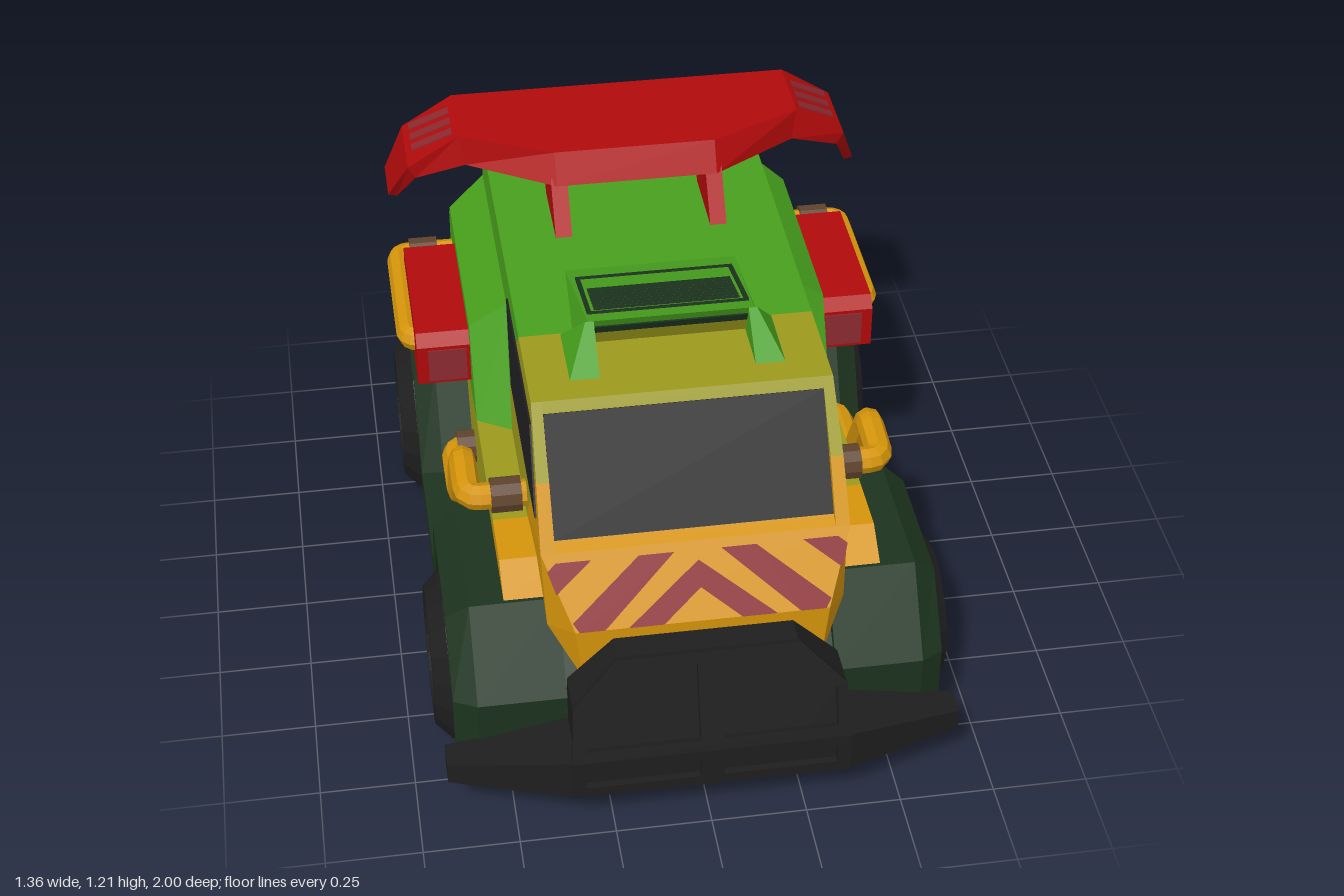
import * as THREE from 'three';

const mat = (name, color) => Object.assign(new THREE.MeshStandardMaterial({ color }), { name });

export function createModel() {
  const model = new THREE.Group();
  const green = mat('bright green paint', 0x48a01d), darkGreen = mat('dark green armour', 0x1c331e);
  const olive = mat('olive paint', 0x9c991d), orange = mat('orange paint', 0xd4940a);
  const red = mat('red paint', 0xb00a0b), maroon = mat('maroon markings', 0x8c2a30);
  const brown = mat('burnt metal', 0x5e422c), grey = mat('grey metal', 0x8a8785);
  const black = mat('black trim', 0x1e1e1f), glass = mat('dark glass', 0x202022);

  // Adds a mesh with faceted normals
  function add(name, geo, material, parent = model) {
    const g = geo.index ? geo.toNonIndexed() : geo;
    g.computeVertexNormals();
    const m = new THREE.Mesh(g, material);
    m.name = name;
    parent.add(m);
    return m;
  }
  // Joins rings of [z, y, x] points, ordered by rising x, into a capped solid
  function loft(rings) {
    const flat = r => r.map(p => new THREE.Vector2(p[0], p[1]));
    if (THREE.ShapeUtils.isClockWise(flat(rings[0]))) rings = rings.map(r => [...r].reverse());
    const pos = [], put = (...ps) => ps.forEach(p => pos.push(p[2], p[1], p[0]));
    const last = rings[rings.length - 1], n = last.length;
    for (const [a, b, c] of THREE.ShapeUtils.triangulateShape(flat(rings[0]), [])) put(rings[0][a], rings[0][b], rings[0][c]);
    for (const [a, b, c] of THREE.ShapeUtils.triangulateShape(flat(last), [])) put(last[c], last[b], last[a]);
    for (let i = 0; i + 1 < rings.length; i++) for (let j = 0; j < n; j++) {
      const a = rings[i][j], b = rings[i][(j + 1) % n], c = rings[i + 1][(j + 1) % n], d = rings[i + 1][j];
      put(a, d, c, a, c, b);
    }
    const g = new THREE.BufferGeometry();
    g.setAttribute('position', new THREE.Float32BufferAttribute(pos, 3));
    return g;
  }
  const at = (pts, x) => pts.map(([z, y]) => [z, y, x]);
  const flip = rings => rings.map(r => r.map(([z, y, x]) => [z, y, -x])).reverse();
  // Solid symmetric about x = 0; each point is [z, y, half width]
  const prism = (name, pts, m) => add(name, loft([pts.map(([z, y, w]) => [z, y, -w]), pts]), m);
  // Left and right copies of a lofted part
  const pair = (name, rings, m) => { add(name + 'Left', loft(rings), m); add(name + 'Right', loft(flip(rings)), m); };
  const shape = pts => new THREE.Shape(pts.map(p => new THREE.Vector2(...p)));
  const hole = (s, pts) => s.holes.push(new THREE.Path(pts.map(p => new THREE.Vector2(...p))));
  function frame(name, y, z, tilt) {
    const g = new THREE.Group();
    g.name = name;
    g.position.set(0, y, z);
    g.rotation.x = tilt;
    model.add(g);
    return g;
  }

  // Cabin in three paint zones
  prism('nose', [[0.83, 0.4, 0.31], [0.83, 0.55, 0.325], [0.71, 0.715, 0.395], [0.682, 0.727, 0.395], [0.59, 0.862, 0.39], [0.42, 0.62, 0.398], [0.4, 0.49, 0.4], [0.72, 0.49, 0.385]], orange);
  prism('cabin', [[0.59, 0.862, 0.39], [0.497, 0.998, 0.386], [0.48, 1.02, 0.385], [0.2, 1.02, 0.385], [0.05, 0.85, 0.391], [-0.1, 0.49, 0.403], [0.4, 0.49, 0.403], [0.42, 0.62, 0.398]], olive);
  prism('rearCabin', [[0.2, 1.02, 0.385], [-0.74, 1.02, 0.385], [-0.79, 0.8, 0.39], [-0.79, 0.49, 0.403], [-0.1, 0.49, 0.403], [0.05, 0.85, 0.391]], green);
  prism('belly', [[0.6, 0.5, 0.32], [0.6, 0.2, 0.32], [-0.79, 0.2, 0.32], [-0.79, 0.5, 0.32]], green);
  prism('frontBelly', [[0.83, 0.4, 0.31], [0.8, 0.2, 0.32], [0.6, 0.2, 0.32], [0.6, 0.5, 0.32], [0.7, 0.5, 0.32]], orange);

  // Raised pillars beside the windscreen
  const pillar = (name, pts, m) => pair(name, [at(pts, 0.358), pts], m);
  pillar('lowerPillar', [[0.712, 0.712, 0.395], [0.612, 0.865, 0.391], [0.56, 0.865, 0.391], [0.66, 0.72, 0.395]], orange);
  pillar('upperPillar', [[0.612, 0.865, 0.391], [0.48, 1.02, 0.385], [0.46, 1.0, 0.386], [0.56, 0.865, 0.391]], olive);

  // Lower flanks, stopping above the wheels
  const flank = (name, pts, m) => pair(name, [at(pts, 0.3), at(pts, 0.49)], m);
  flank('frontFlank', [[0.67, 0.54], [0.58, 0.6], [0.42, 0.6], [0.42, 0.49], [0.64, 0.49]], orange);
  flank('middleFlank', [[0.42, 0.6], [-0.4, 0.6], [-0.4, 0.49], [-0.375, 0.49], [-0.285, 0.25], [-0.285, 0.2], [0.235, 0.2], [0.235, 0.25], [0.355, 0.49], [0.42, 0.49]], olive);
  flank('rearFlank', [[-0.4, 0.6], [-0.77, 0.6], [-0.79, 0.28], [-0.66, 0.49], [-0.4, 0.49]], green);
  pair('rearQuarter', [
    [[0.065, 0.59, 0.38], [-0.1, 0.92, 0.38], [-0.75, 0.92, 0.38], [-0.785, 0.82, 0.38], [-0.79, 0.59, 0.38]],
    [[0, 0.59, 0.49], [-0.13, 0.83, 0.49], [-0.72, 0.83, 0.49], [-0.755, 0.79, 0.49], [-0.765, 0.59, 0.49]]], green);

  // Windows
  const win = y => 0.424 - 0.0333 * y;
  prism('windscreen', [[0.679, 0.732, 0.357], [0.499, 0.995, 0.357], [0.504, 0.998, 0.357], [0.684, 0.735, 0.357]], glass);
  const side = [[0.62, 0.76], [0.49, 0.96], [-0.06, 0.96], [0.06, 0.76]];
  pair('sideWindow', [side.map(([z, y]) => [z, y, win(y) - 0.008]), side.map(([z, y]) => [z, y, win(y)])], glass);

  // Hazard stripes on the hood
  const hood = frame('hoodStripes', 0.553, 0.834, -0.615);
  const stripes = [
    [[0, 0.085], [0.1, 0], [0.19, 0], [0, 0.155]],
    [[0.25, 0], [0.315, 0], [0.33, 0.025], [0.15, 0.18], [0.06, 0.18]],
    [[0.365, 0.1], [0.383, 0.16], [0.36, 0.18], [0.27, 0.18]]];
  for (const s of [1, -1]) for (const p of stripes)
    add('hoodStripe', new THREE.ShapeGeometry(shape(p.map(([x, y]) => [s * x, y]))), maroon, hood);

  // Armoured fenders with wheel arches and sill
  const arches = [[-0.83, 0.17], [-0.78, 0.25], [-0.65, 0.47], [-0.38, 0.47], [-0.3, 0.25], [-0.3, 0.17],
    [0.25, 0.17], [0.25, 0.25], [0.365, 0.47], [0.64, 0.47], [0.75, 0.25], [0.75, 0.17]];
  const outer = [[0.83, 0.17], [0.83, 0.33], [0.68, 0.54], [0.27, 0.54], [0.13, 0.28], [-0.19, 0.28], [-0.34, 0.54], [-0.735, 0.54], [-0.91, 0.28], [-0.91, 0.17], ...arches];
  const inset = [[0.79, 0.17], [0.79, 0.32], [0.655, 0.49], [0.29, 0.49], [0.16, 0.26], [-0.22, 0.26], [-0.36, 0.49], [-0.71, 0.49], [-0.86, 0.27], [-0.86, 0.17], ...arches];
  pair('fender', [at(outer, 0.35), at(outer, 0.58), at(inset, 0.64)], darkGreen);
  prism('rearBumper', [[-0.91, 0.17, 0.36], [-0.91, 0.28, 0.36], [-0.78, 0.34, 0.36], [-0.76, 0.17, 0.36]], darkGreen);
  // Inner wheel housings
  for (const z of [0.5, -0.55]) {
    const wall = [[z + 0.3, 0.18], [z + 0.3, 0.34], [z + 0.16, 0.5], [z - 0.16, 0.5], [z - 0.27, 0.34], [z - 0.27, 0.18]];
    pair('wheelHousing', [at(wall, 0.31), at(wall, 0.352)], darkGreen);
  }

  // Wheels
  const lathe = (pts, n) => new THREE.LatheGeometry(pts.map(p => new THREE.Vector2(...p)), n);
  for (const s of [1, -1]) for (const z of [0.505, -0.56]) {
    const wheel = new THREE.Group();
    wheel.name = (z > 0 ? 'front' : 'rear') + 'Wheel' + (s > 0 ? 'Left' : 'Right');
    wheel.position.set(0, 0.227, z);
    wheel.rotation.z = -s * Math.PI / 2;
    add('tyre', lathe([[0, 0.325], [0.227, 0.325], [0.227, 0.64], [0.185, 0.682], [0.15, 0.682], [0.13, 0.655], [0, 0.655]], 18), black, wheel);
    add('hub', lathe([[0.075, 0.65], [0.07, 0.67], [0, 0.672]], 14), grey, wheel);
    model.add(wheel);
  }

  // Front bumper and grille guard
  const bar = (x, zb, zf, top) => at([[zb, 0.14], [zf, 0.14], [zf, top], [zb, top]], x);
  const wingBar = [bar(0.35, 0.83, 0.98, 0.26), bar(0.36, 0.83, 0.998, 0.26), bar(0.67, 0.82, 0.895, 0.2)];
  add('frontBumper', loft([...flip(wingBar), ...wingBar]), black);
  const guard = (x, top) => at([[0.83, 0.14], [0.98, 0.14], [0.98, 0.26], [0.98 - 0.31 * (top - 0.26), top], [0.83, top]], x);
  add('grilleCore', loft([guard(-0.35, 0.4), guard(-0.23, 0.52), guard(0.23, 0.52), guard(0.35, 0.4)]), black);
  const lower = shape([[-0.36, -0.12], [0.36, -0.12], [0.36, 0], [-0.36, 0]]);
  const upper = shape([[-0.36, -0.007], [0.36, -0.007], [0.35, 0.147], [0.235, 0.272], [-0.235, 0.272], [-0.35, 0.147]]);
  for (const s of [1, -1]) {
    hole(lower, [[0.03, -0.09], [0.325, -0.09], [0.325, -0.035], [0.03, -0.035]].map(([x, y]) => [s * x, y]));
    hole(upper, [[0.03, 0.025], [0.325, 0.025], [0.325, 0.135], [0.22, 0.24], [0.03, 0.24]].map(([x, y]) => [s * x, y]));
  }
  const extrude = (s, depth) => new THREE.ExtrudeGeometry(s, { depth, bevelEnabled: false });
  add('lowerGrilleFrame', extrude(lower, 0.02), black, frame('lowerGrille', 0.26, 0.98, 0));
  add('upperGrilleFrame', extrude(upper, 0.02), black, frame('upperGrille', 0.26, 0.98, -0.3));

  // Roof scoop with vent
  prism('scoop', [[0.24, 1.01, 0.25], [0.29, 1.115, 0.215], [-0.1, 1.015, 0.23]], green);
  const cheek = [[0.41, 1.015], [0.2, 1.015], [0.29, 1.115]];
  pair('scoopCheek', [at(cheek, 0.2), cheek.map(([z, y], i) => [z, y, i < 2 ? 0.28 : 0.222])], green);
  const mouth = (y0, y1) => [[0, y0], [0, y1], [0.006, y1], [0.006, y0]].map(([d, y]) => [0.24 + (y - 1.01) * 0.476 + d, y, 0.2]);
  prism('scoopFloor', mouth(1.02, 1.065), olive);
  prism('scoopOpening', mouth(1.065, 1.09), darkGreen);
  const vent = frame('roofVent', 1.071, 0.115, -0.251);
  const slat = (w, d, x, z) => add('ventSlat', new THREE.BoxGeometry(w, 0.006, d), darkGreen, vent).position.set(x, 0, z);
  for (let i = 0; i < 8; i++) slat(0.38, 0.01, 0, -0.04 + i * 0.02);
  for (const z of [-0.13, 0.125]) slat(0.42, 0.012, 0, z);
  for (const x of [-0.205, 0.205]) slat(0.012, 0.25, x, 0);

  // Rear wing: [top x, bottom x, front z, back z, top y, bottom y, bottom front z]
  const half = [[0.22, 0.22, -0.36, -0.7, 1.215, 1.135, -0.315], [0.47, 0.455, -0.48, -0.7, 1.215, 1.135, -0.46],
    [0.612, 0.592, -0.5, -0.72, 1.115, 1.08, -0.5], [0.667, 0.643, -0.61, -0.755, 0.962, 0.955, -0.61]];
  const wing = half.map(([x, xb, zf, zb, t, b, zl]) => [[zf, t, x], [zb, t, x], [zb, b, xb], [zl, b, xb]]);
  add('rearWing', loft([...flip(wing), ...wing]), red);
  const strut = [[-0.23, 1.01], [-0.33, 1.15], [-0.6, 1.15], [-0.45, 1.01]];
  pair('wingStrut', [at(strut, 0.19), at(strut, 0.235)], red);
  // Diagonal wing markings lie on the sloped wing ends
  const wingY = x => 1.215 - (x - 0.47) * 0.704;
  for (let i = 0; i < 3; i++) {
    const z = -0.53 - i * 0.055;
    const mark = (x, zz) => [[zz, 0.004], [zz - 0.03, 0.004], [zz - 0.03, -0.004], [zz, -0.004]].map(([q, d]) => [q, wingY(x) + d, x]);
    pair('wingMark', [mark(0.485, z + 0.02), mark(0.595, z - 0.035)], maroon);
  }

  // Side pods
  const pod = [[-0.14, 0.64], [-0.14, 0.76], [-0.17, 0.79], [-0.59, 0.79], [-0.68, 0.6], [-0.2, 0.6]];
  pair('sidePod', [at(pod, 0.45), at(pod, 0.635)], red);
  const inlet = [[-0.136, 0.65], [-0.136, 0.75], [-0.144, 0.75], [-0.144, 0.65]];
  pair('podInlet', [at(inlet, 0.5), at(inlet, 0.605)], maroon);

  // Bent pipes with burnt collars
  function pipe(name, pts, r, collars) {
    for (const s of [1, -1]) {
      const v = pts.map(([x, y, z]) => new THREE.Vector3(s * x, y, z)), path = new THREE.CurvePath();
      let from = v[0];
      for (let i = 1; i < v.length - 1; i++) {
        const near = q => v[i].clone().add(q.clone().sub(v[i]).setLength(0.035));
        const a = near(v[i - 1]), b = near(v[i + 1]);
        path.add(new THREE.LineCurve3(from, a));
        path.add(new THREE.QuadraticBezierCurve3(a, v[i], b));
        from = b;
      }
      path.add(new THREE.LineCurve3(from, v[v.length - 1]));
      const suffix = s > 0 ? 'Left' : 'Right';
      add(name + suffix, new THREE.TubeGeometry(path, 48, r, 8), orange);
      for (const [x, y, z] of collars) {
        const c = add(name + 'Collar' + suffix, new THREE.CylinderGeometry(r + 0.012, r + 0.012, 0.08, 10), brown);
        c.position.set(s * x, y, z);
        c.rotation.z = Math.PI / 2;
      }
    }
  }
  pipe('flankPipe', [[0.39, 0.65, 0.38], [0.55, 0.65, 0.38], [0.55, 0.665, 0.22], [0.55, 0.41, 0.07], [0.55, 0.41, -0.13], [0.46, 0.41, -0.13]], 0.036,
    [[0.45, 0.65, 0.38], [0.5, 0.41, -0.135]]);
  pipe('podPipe', [[0.58, 0.7, -0.27], [0.648, 0.7, -0.27], [0.648, 0.7, -0.69], [0.47, 0.7, -0.69]], 0.034, [[0.575, 0.7, -0.69]]);

  // Engine plate and twin exhausts
  const plate = shape([[-0.36, 0.53], [-0.25, 0.41], [0.25, 0.41], [0.36, 0.53], [0.36, 0.75], [0.25, 0.865], [-0.25, 0.865], [-0.36, 0.75]]);
  add('enginePlate', extrude(plate, 0.1), black).position.z = -0.87;
  for (const x of [0.16, -0.16]) {
    const ex = frame('exhaust', 0.635, -0.87, -Math.PI / 2);
    ex.position.x = x;
    add('exhaustCone', lathe([[0.148, 0], [0.137, 0.1]], 12), grey, ex);
    add('exhaustRim', lathe([[0.137, 0.1], [0.135, 0.13], [0.095, 0.13], [0.088, 0.03]], 12), brown, ex);
    add('exhaustBore', lathe([[0.09, 0.03], [0, 0.031]], 12), black, ex);
  }
  return model;
}
